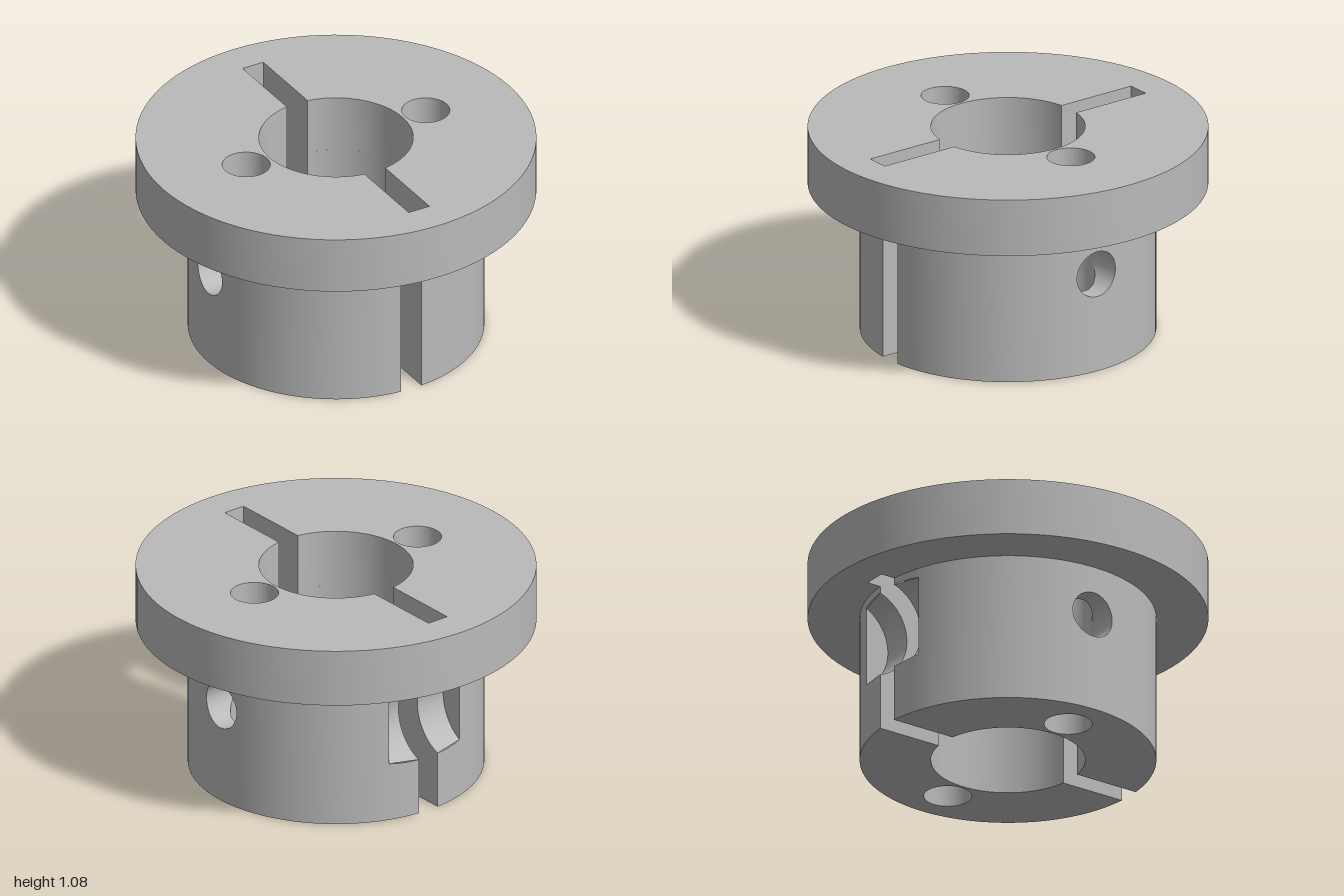
import * as THREE from 'three';
import { toCreasedNormals } from 'three/addons/utils/BufferGeometryUtils.js';

const FLANGE_R = 1, HUB_R = 0.74, BORE_R = 0.385;
const HUB_TOP = 0.78, TOP = 1.08;
const SLOT = 0.06, SLOT_END = 0.815;              // slot half width and reach
const HOLE_R = 0.12, HOLE_X = 0.52, HOLE_Y = 0.52; // pin holes and cross holes
const POCKET_R = 0.235, POCKET_Z = -0.81, POCKET_X = 0.225;

const { sin, cos, acos, asin, sqrt, abs, PI } = Math;
const V = (x, y, z) => new THREE.Vector3(x, y, z);
const lerp = THREE.MathUtils.lerp;

// Ruled surface between two curves a(t) and b(t), mirrored when side is -1
function ruled(a, b, n, side, rows = 1) {
  const pos = [], index = [];
  for (let i = 0; i <= n; i++) {
    const p = a(i / n), q = b(i / n);
    for (let j = 0; j <= rows; j++) {
      const v = p.clone().lerp(q, j / rows);
      pos.push(v.x * side, v.y, v.z);
    }
  }
  const w = rows + 1;
  for (let i = 0; i < n; i++) for (let j = 0; j < rows; j++) {
    const k = i * w + j;
    const [c, d] = side > 0 ? [k + 1, k + w] : [k + w, k + 1];
    index.push(k, c, k + w + 1, k, k + w + 1, d);
    if (side < 0) continue;
  }
  const g = new THREE.BufferGeometry();
  g.setAttribute('position', new THREE.Float32BufferAttribute(pos, 3));
  g.setIndex(index);
  g.computeVertexNormals();
  return g;
}

export function createModel() {
  const model = new THREE.Group();
  const grey = new THREE.MeshStandardMaterial({ color: 0xbababa });
  grey.name = 'plain grey';
  const add = (parent, name, geometry) => {
    const mesh = new THREE.Mesh(geometry, grey);
    mesh.name = name;
    parent.add(mesh);
  };

  // Flange: disc with a slotted bore and two pin holes
  const disc = new THREE.Shape().absarc(0, 0, FLANGE_R, 0, 2 * PI);
  const a = asin(SLOT / BORE_R);
  const bore = new THREE.Path();
  bore.absarc(0, 0, BORE_R, -PI / 2 + a, PI / 2 - a);
  bore.lineTo(SLOT, SLOT_END).lineTo(-SLOT, SLOT_END);
  bore.absarc(0, 0, BORE_R, PI / 2 + a, 1.5 * PI - a);
  bore.lineTo(-SLOT, -SLOT_END).lineTo(SLOT, -SLOT_END);
  bore.closePath();
  disc.holes.push(bore);
  for (const s of [-1, 1]) {
    disc.holes.push(new THREE.Path().absarc(s * HOLE_X, 0, HOLE_R, 0, 2 * PI));
  }
  const flange = new THREE.ExtrudeGeometry(disc, { depth: TOP - HUB_TOP, bevelEnabled: false, curveSegments: 48 });
  flange.rotateX(PI / 2).translate(0, TOP, 0);
  add(model, 'flange', toCreasedNormals(flange, 0.5));

  // Hub: two mirrored halves divided by the slot
  for (const s of [1, -1]) {
    const half = new THREE.Group();
    half.name = s > 0 ? 'leftHubHalf' : 'rightHubHalf';
    model.add(half);

    // Cylinder walls, interrupted by the cross hole
    const wall = (name, r, inward, from, to) => {
      const put = (n, lo, hi) => add(half, name, inward ? ruled(hi, lo, n, s) : ruled(lo, hi, n, s));
      const at = (t, y) => V(r * cos(t), y, r * sin(t));
      const h = asin(HOLE_R / r);
      for (const [t0, t1] of [[from, -h], [h, to]]) {
        put(24, t => at(lerp(t0, t1, t), 0), t => at(lerp(t0, t1, t), HUB_TOP));
      }
      const u = t => (t - 0.5) * PI;
      const ang = t => asin(HOLE_R * sin(u(t)) / r);
      put(24, t => at(ang(t), 0), t => at(ang(t), HOLE_Y - HOLE_R * cos(u(t))));
      put(24, t => at(ang(t), HOLE_Y + HOLE_R * cos(u(t))), t => at(ang(t), HUB_TOP));
    };
    const boreEnd = acos(SLOT / BORE_R), hubEnd = acos(SLOT / HUB_R), pocketEnd = acos(POCKET_X / HUB_R);
    wall('boreWall', BORE_R, true, -boreEnd, boreEnd);
    wall('hubWall', HUB_R, false, -pocketEnd, hubEnd);

    // Outer wall above and below the back pocket
    const hubZ = x => -sqrt(HUB_R ** 2 - x * x);
    const reach = x => acos((hubZ(x) - POCKET_Z) / POCKET_R);
    const xAt = t => HUB_R * cos(lerp(-hubEnd, -pocketEnd, t));
    const edge = (t, y) => V(xAt(t), y, hubZ(xAt(t)));
    const rise = t => POCKET_R * sin(reach(xAt(t)));
    add(half, 'hubWallBelowPocket', ruled(t => edge(t, 0), t => edge(t, HOLE_Y - rise(t)), 8, s));
    add(half, 'hubWallAbovePocket', ruled(t => edge(t, HOLE_Y + rise(t)), t => edge(t, HUB_TOP), 8, s));

    // Pocket floor and end wall
    const arc = x => t => {
      const p = (2 * t - 1) * reach(x);
      return V(x, HOLE_Y + POCKET_R * sin(p), POCKET_Z + POCKET_R * cos(p));
    };
    add(half, 'pocketFloor', ruled(arc(POCKET_X), arc(SLOT), 32, s, 4));
    const endArc = arc(POCKET_X);
    add(half, 'pocketEnd', ruled(t => V(POCKET_X, endArc(t).y, hubZ(POCKET_X)), endArc, 32, s));

    // Slot faces, the back one cut away by the pocket
    const zIn = sqrt(BORE_R ** 2 - SLOT ** 2), zOut = -hubZ(SLOT);
    add(half, 'frontSlotFace', ruled(t => V(SLOT, t * HUB_TOP, zIn), t => V(SLOT, t * HUB_TOP, zOut), 1, s));
    const slotArc = arc(SLOT);
    const y0 = slotArc(0).y, y1 = slotArc(1).y;
    for (const [lo, hi] of [[0, y0], [y1, HUB_TOP]]) {
      add(half, 'backSlotFace', ruled(t => V(SLOT, lerp(lo, hi, t), -zOut), t => V(SLOT, lerp(lo, hi, t), -zIn), 1, s));
    }
    add(half, 'backSlotFace', ruled(slotArc, t => V(SLOT, slotArc(t).y, -zIn), 32, s));

    // Vertical pin hole and the cross hole that meets it
    const pin = (t, y) => V(HOLE_X + HOLE_R * cos(t * 2 * PI), y, HOLE_R * sin(t * 2 * PI));
    const gapY = t => HOLE_R * abs(cos(t * 2 * PI));
    add(half, 'pinHole', ruled(t => pin(t, HOLE_Y - gapY(t)), t => pin(t, 0), 48, s));
    add(half, 'pinHole', ruled(t => pin(t, HUB_TOP), t => pin(t, HOLE_Y + gapY(t)), 48, s));
    const cross = (t, x) => V(x, HOLE_Y + HOLE_R * sin(t * 2 * PI), HOLE_R * cos(t * 2 * PI));
    const onCylinder = (t, r) => cross(t, sqrt(r * r - (HOLE_R * cos(t * 2 * PI)) ** 2));
    const gapX = t => HOLE_R * abs(sin(t * 2 * PI));
    add(half, 'crossHole', ruled(t => onCylinder(t, HUB_R), t => cross(t, HOLE_X + gapX(t)), 48, s));
    add(half, 'crossHole', ruled(t => cross(t, HOLE_X - gapX(t)), t => onCylinder(t, BORE_R), 48, s));

    // Bottom face
    const outline = [];
    for (const [r, t0, t1] of [[HUB_R, -hubEnd, hubEnd], [BORE_R, boreEnd, -boreEnd]]) {
      for (let i = 0; i <= 64; i++) {
        const t = lerp(t0, t1, i / 64);
        outline.push(new THREE.Vector2(s * r * cos(t), r * sin(t)));
      }
    }
    const base = new THREE.Shape(outline);
    base.holes.push(new THREE.Path().absarc(s * HOLE_X, 0, HOLE_R, 0, 2 * PI));
    add(half, 'bottomFace', new THREE.ShapeGeometry(base, 24).rotateX(PI / 2));
  }
  return model;
}
